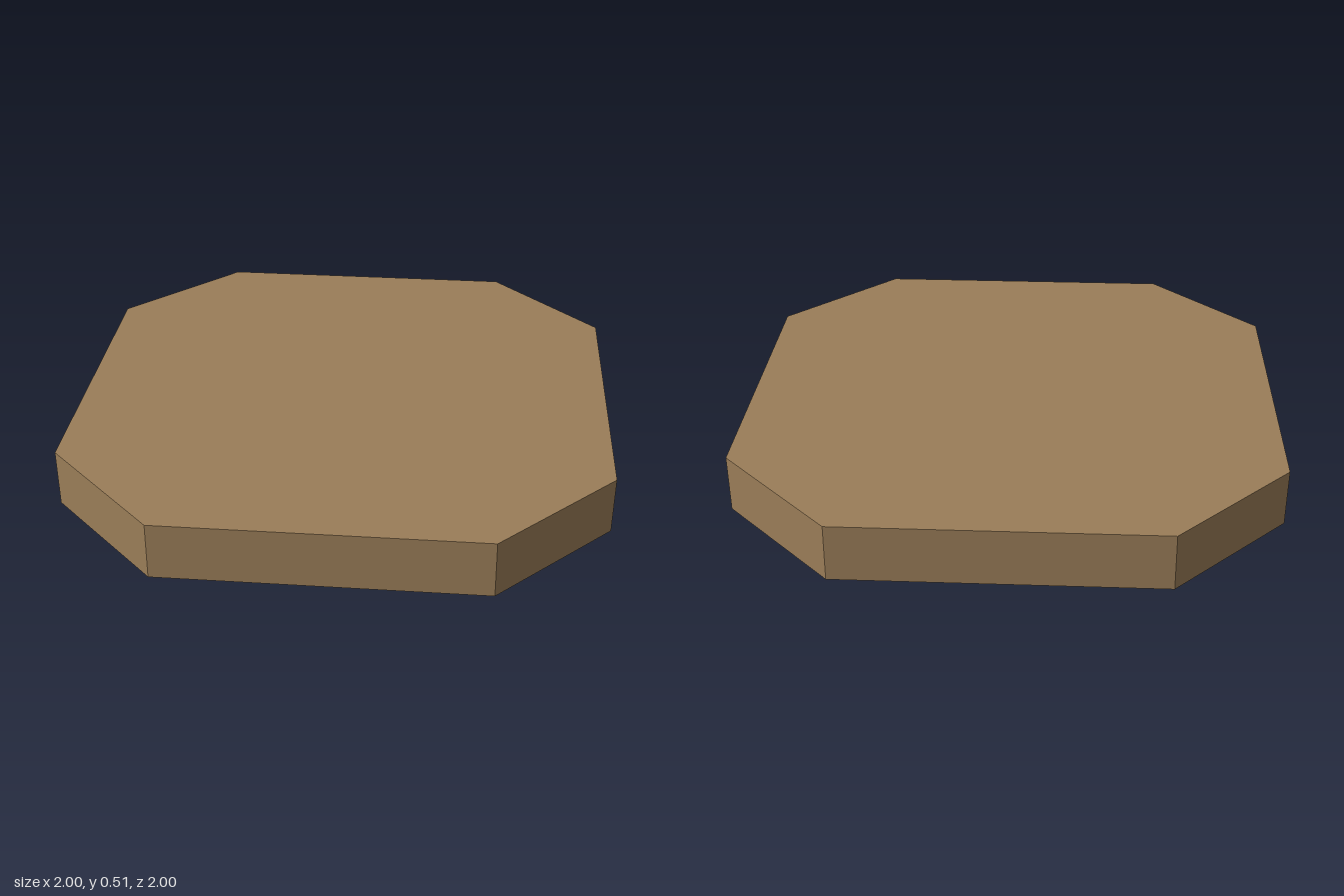
import * as THREE from 'three';

// Eight-sided ring: half width, half length of the straight sides, height, tilt along x
function ring(half, side, y, tilt = 0) {
  const corners = [[side, half], [half, side], [half, -side], [side, -half],
    [-side, -half], [-half, -side], [-half, side], [-side, half]];
  return corners.map(([x, z]) => new THREE.Vector3(x, y + tilt * x, z));
}

// Flat-faced skin through rings listed from bottom to top, with optional caps
function loft(rings, capBottom, capTop) {
  const points = [];
  const n = rings[0].length;
  for (let r = 0; r < rings.length - 1; r++) {
    const low = rings[r], high = rings[r + 1];
    for (let i = 0; i < n; i++) {
      const j = (i + 1) % n;
      points.push(low[i], low[j], high[j], low[i], high[j], high[i]);
    }
  }
  const bottom = rings[0], top = rings[rings.length - 1];
  for (let i = 1; i < n - 1; i++) {
    if (capBottom) points.push(bottom[0], bottom[i + 1], bottom[i]);
    if (capTop) points.push(top[0], top[i], top[i + 1]);
  }
  const geometry = new THREE.BufferGeometry().setFromPoints(points);
  geometry.computeVertexNormals();
  return geometry;
}

export function createModel() {
  const group = new THREE.Group();
  group.name = 'groundPlatform';

  const earth = new THREE.MeshStandardMaterial({ color: 0x9a7d58 });
  earth.name = 'earthBrown';
  const stone = new THREE.MeshStandardMaterial({ color: 0xb0b0b0 });
  stone.name = 'stoneGrey';

  const add = (name, geometry, material) => {
    const mesh = new THREE.Mesh(geometry, material);
    mesh.name = name;
    group.add(mesh);
  };

  const base = ring(0.49, 0.09, 0);
  const seam = ring(0.885, 0.475, 0.237, 0.009);
  const rim = ring(1, 0.587, 0.295);
  const top = ring(1, 0.584, 0.51);

  // Earth slab with its bevelled underside
  add('earthSlab', loft([seam, rim, top], false, true), earth);
  // Tapered stone below
  add('stoneBase', loft([base, seam], true, false), stone);

  return group;
}
